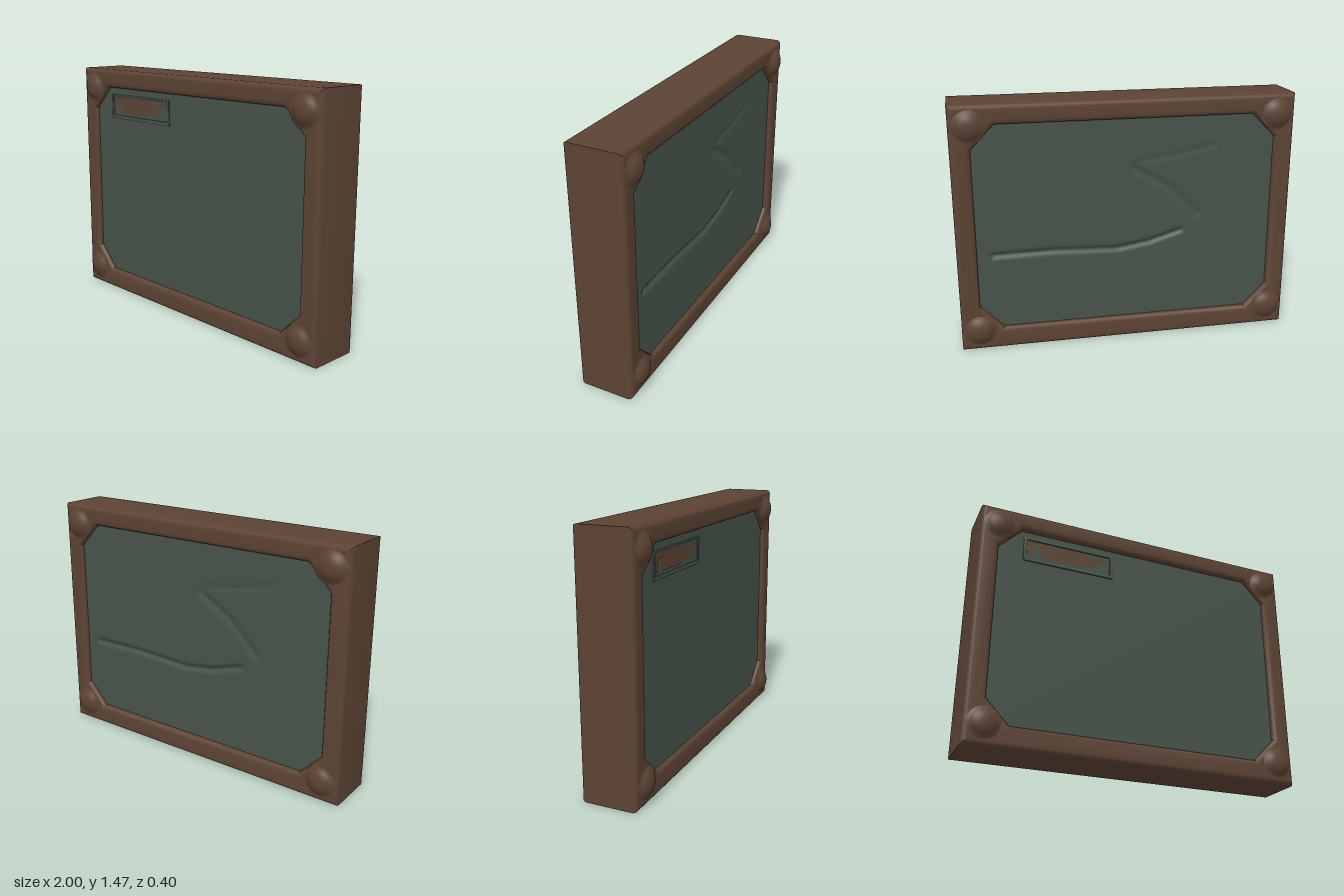
import * as THREE from 'three';
import { toCreasedNormals } from 'three/addons/utils/BufferGeometryUtils.js';

const H = 1.47, HALF = 0.167, PANEL_Z = 0.137, MID = 0.742;

// Traces a closed outline from [x, y] points
function trace(path, pts) {
  pts.forEach(([x, y], i) => (i ? path.lineTo(x, y) : path.moveTo(x, y)));
  path.closePath();
  return path;
}

// Corners of a rectangle, counter-clockwise
const rect = (x0, y0, x1, y1) => [[x0, y0], [x1, y0], [x1, y1], [x0, y1]];

// Rectangle with clipped corners, counter-clockwise
const clipped = (x0, y0, x1, y1, cx, cy) => [
  [x0 + cx, y0], [x1 - cx, y0], [x1, y0 + cy], [x1, y1 - cy],
  [x1 - cx, y1], [x0 + cx, y1], [x0, y1 - cy], [x0, y0 + cy],
];

// Creases in the back panel: polylines in x, y
const creases = [
  { pts: [[0.79, 0.58], [0.44, 0.585], [0.06, 0.57], [-0.13, 0.6], [-0.33, 0.66]], depth: 0.016, width: 0.016 },
  { pts: [[-0.05, 1.06], [-0.26, 0.93], [-0.43, 0.76]], depth: 0.009, width: 0.022 },
  { pts: [[-0.07, 1.1], [-0.3, 1.13], [-0.52, 1.18]], depth: 0.004, width: 0.02 },
];

function segmentDistance(x, y, [ax, ay], [bx, by]) {
  const dx = bx - ax, dy = by - ay;
  const t = THREE.MathUtils.clamp(((x - ax) * dx + (y - ay) * dy) / (dx * dx + dy * dy), 0, 1);
  return Math.hypot(x - ax - t * dx, y - ay - t * dy);
}

function creasedSheet() {
  const geo = new THREE.PlaneGeometry(1.82, 1.27, 190, 130);
  geo.rotateY(Math.PI);
  geo.translate(0, MID, -PANEL_Z);
  const p = geo.attributes.position;
  for (let i = 0; i < p.count; i++) {
    const x = p.getX(i), y = p.getY(i);
    let dent = 0;
    for (const { pts, depth, width } of creases) {
      let d = 9;
      for (let k = 1; k < pts.length; k++) d = Math.min(d, segmentDistance(x, y, pts[k - 1], pts[k]));
      dent += depth * Math.exp(-((d / width) ** 2));
    }
    p.setZ(i, -PANEL_Z + dent);
  }
  geo.computeVertexNormals();
  return geo;
}

export function createModel() {
  const brown = new THREE.MeshStandardMaterial({ color: 0x5c4334 });
  brown.name = 'brown frame';
  const green = new THREE.MeshStandardMaterial({ color: 0x47534a });
  green.name = 'dark green panel';

  const model = new THREE.Group();
  model.name = 'framedBoard';
  const add = (name, geo, mat, x = 0, y = 0, z = 0, parent = model) => {
    const mesh = new THREE.Mesh(geo, mat);
    mesh.name = name;
    mesh.position.set(x, y, z);
    parent.add(mesh);
    return mesh;
  };

  // Thick frame with rounded rims and an eight-sided opening
  const bevel = 0.028;
  const outline = trace(new THREE.Shape(), rect(-1, 0, 1, H));
  outline.holes.push(trace(new THREE.Path(), clipped(-0.885, 0.13, 0.885, 1.355, 0.135, 0.14).reverse()));
  const frame = new THREE.ExtrudeGeometry(outline, {
    depth: 2 * (HALF - bevel), bevelEnabled: true, bevelThickness: bevel,
    bevelSize: bevel, bevelOffset: -bevel, bevelSegments: 4,
  });
  frame.translate(0, 0, -(HALF - bevel));
  add('frame', toCreasedNormals(frame, 0.6), brown);

  // Front panel and creased back panel
  add('frontPanel', new THREE.PlaneGeometry(1.82, 1.27), green, 0, MID, PANEL_Z);
  add('backPanel', creasedSheet(), green);

  // Soft domed studs with flared feet on both faces of each corner
  const profile = new THREE.SplineCurve([
    [0.098, -0.003], [0.078, 0.006], [0.064, 0.016], [0.045, 0.026], [0.02, 0.032], [0, 0.033],
  ].map(([r, h]) => new THREE.Vector2(r, h))).getPoints(16);
  profile[profile.length - 1].x = 0;
  const stud = new THREE.LatheGeometry(profile, 32);
  for (const side of [-1, 1]) {
    for (const x of [-0.89, 0.89]) {
      for (const y of [0.125, 1.352]) {
        add('cornerStud', stud, brown, x, y, side * HALF).rotation.x = side * Math.PI / 2;
      }
    }
  }

  // Name plate: low rim around a worn brown patch
  const plate = new THREE.Group();
  plate.name = 'namePlate';
  model.add(plate);
  const rim = trace(new THREE.Shape(), rect(-0.735, 1.16, -0.17, 1.315));
  rim.holes.push(trace(new THREE.Path(), rect(-0.715, 1.182, -0.192, 1.303).reverse()));
  const rimGeo = new THREE.ExtrudeGeometry(rim, {
    depth: 0.003, bevelEnabled: true, bevelThickness: 0.004, bevelSize: 0.004, bevelOffset: -0.004, bevelSegments: 2,
  });
  add('plateRim', toCreasedNormals(rimGeo, 0.8), green, 0, 0, PANEL_Z, plate);
  const patch = trace(new THREE.Shape(), [
    [-0.71, 1.2], [-0.685, 1.2], [-0.685, 1.25], [-0.665, 1.275], [-0.64, 1.265], [-0.64, 1.2],
    [-0.45, 1.195], [-0.34, 1.21], [-0.26, 1.225], [-0.29, 1.245], [-0.22, 1.265],
    [-0.2, 1.29], [-0.25, 1.285], [-0.31, 1.275], [-0.36, 1.298], [-0.71, 1.298],
  ]);
  add('platePatch', new THREE.ShapeGeometry(patch), brown, 0, 0, PANEL_Z + 0.003, plate);

  return model;
}
